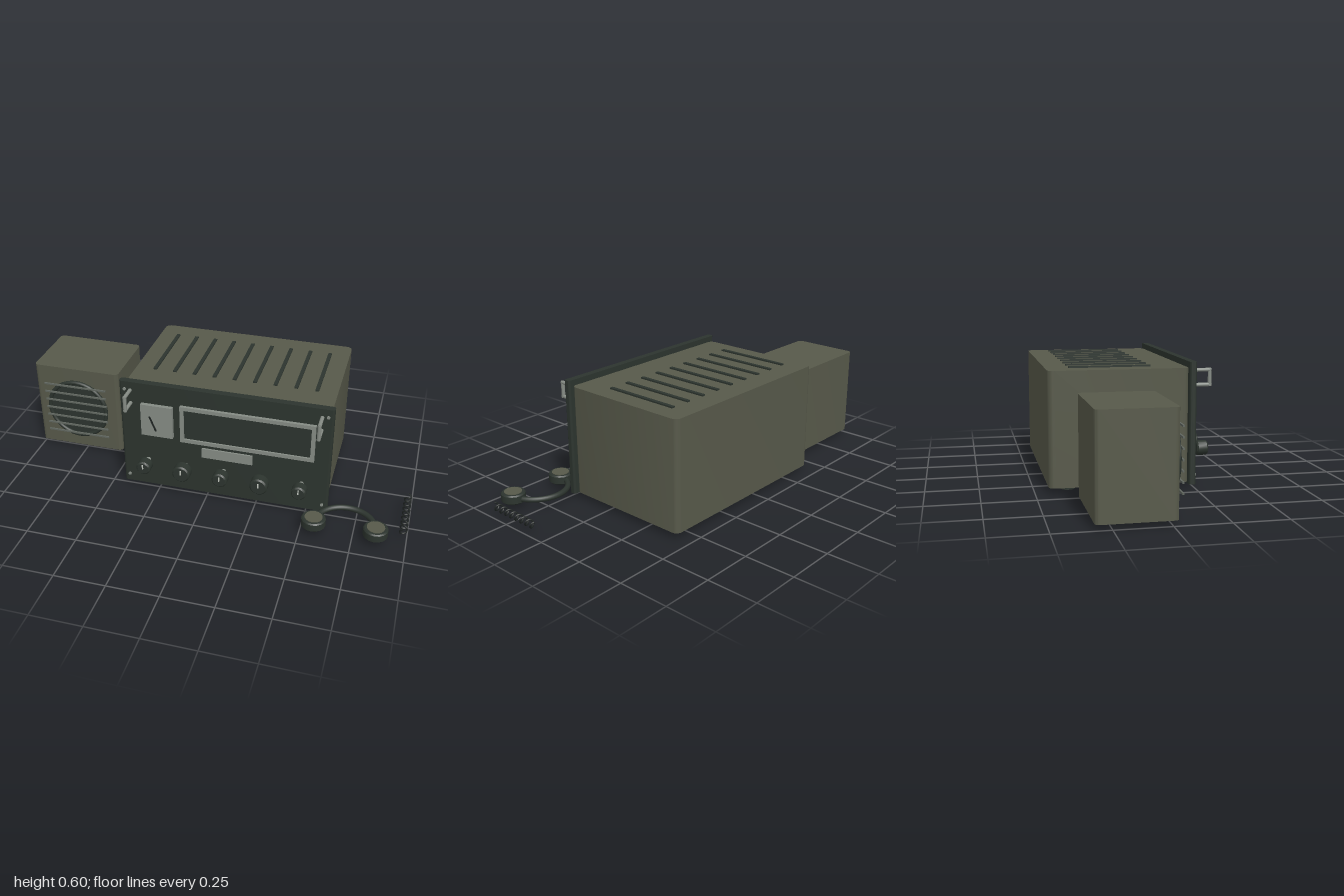
import * as THREE from 'three';
import { toCreasedNormals } from 'three/addons/utils/BufferGeometryUtils.js';

const paint = (name, color) => {
  const m = new THREE.MeshStandardMaterial({ color });
  m.name = name;
  return m;
};

export function createModel() {
  const olive = paint('olive enamel', 0x57594a);
  const dark = paint('dark green panel', 0x2c342e);
  const black = paint('black rubber', 0x1f2422);
  const steel = paint('steel', 0x858b84);
  const slat = paint('dull metal', 0x60665f);
  const pale = paint('pale marking', 0xc4c8c0);

  const root = new THREE.Group();
  root.name = 'radioSet';

  const add = (name, geo, mat, x = 0, y = 0, z = 0, parent = root) => {
    const mesh = new THREE.Mesh(geo, mat);
    mesh.name = name;
    mesh.position.set(x, y, z);
    parent.add(mesh);
    return mesh;
  };
  const group = (name, x = 0, y = 0, z = 0) => {
    const g = new THREE.Group();
    g.name = name;
    g.position.set(x, y, z);
    root.add(g);
    return g;
  };
  const box = (w, h, d) => new THREE.BoxGeometry(w, h, d);
  const rodZ = (r, len, sides = 16) => new THREE.CylinderGeometry(r, r, len, sides).rotateX(Math.PI / 2);

  // Box standing on y = 0 with its four upright edges rounded
  const roundedPrism = (w, h, d, r) => {
    const s = new THREE.Shape();
    const a = w / 2 - r, b = d / 2 - r;
    s.absarc(a, b, r, 0, Math.PI / 2);
    s.absarc(-a, b, r, Math.PI / 2, Math.PI);
    s.absarc(-a, -b, r, Math.PI, Math.PI * 1.5);
    s.absarc(a, -b, r, Math.PI * 1.5, Math.PI * 2);
    s.closePath();
    const g = new THREE.ExtrudeGeometry(s, { depth: h, bevelEnabled: false, curveSegments: 5 });
    return toCreasedNormals(g.rotateX(-Math.PI / 2), 0.6);
  };

  // Chamfered round block along y, from 0 to h
  const chamferedDisc = (r, h, c, sides) => {
    const pts = [[0, 0], [r - c, 0], [r, c], [r, h - c], [r - c, h], [0, h]];
    const g = new THREE.LatheGeometry(pts.map(p => new THREE.Vector2(...p)), sides);
    return toCreasedNormals(g, 0.6);
  };

  // Cabinet, front panel, vents and feet
  const cx = 0.086;
  add('cabinet', roundedPrism(1.01, 0.543, 0.66, 0.03), olive, cx, 0.028, -0.108);
  add('frontPanel', roundedPrism(1.044, 0.581, 0.034, 0.012), dark, cx, 0.019, 0.237);
  for (let i = 0; i < 9; i++) {
    add('ventSlot', box(0.018, 0.007, 0.388), dark, cx + (i - 4) * 0.1015, 0.5752, -0.137);
  }
  for (const x of [-0.31, 0.482]) {
    for (const z of [0.127, -0.34]) {
      add('foot', new THREE.CylinderGeometry(0.035, 0.035, 0.03, 16), dark, x, 0.015, z);
    }
  }

  // Handles and corner screws on the panel
  for (const side of [-1, 1]) {
    const handle = group('handle', cx + side * 0.466, 0.52, 0);
    for (const y of [-0.034, 0.036]) {
      add('handlePost', rodZ(0.009, 0.084), steel, 0, y, 0.294, handle);
    }
    add('handleGrip', new THREE.CylinderGeometry(0.009, 0.009, 0.082, 16), steel, 0, 0, 0.33, handle);
    for (const y of [0.06, 0.56]) {
      add('panelScrew', rodZ(0.008, 0.008, 10), steel, cx + side * 0.494, y, 0.256);
    }
  }

  // Meter with its needle
  add('meterFace', box(0.16, 0.172, 0.02), steel, -0.246, 0.409, 0.264);
  const needle = add('meterNeedle', box(0.008, 0.085, 0.004), black, -0.262, 0.4, 0.284);
  needle.rotation.z = 0.38;

  // Dial window in its frame, and the plate below
  const frame = new THREE.Shape([[-0.329, -0.1], [0.329, -0.1], [0.329, 0.1], [-0.329, 0.1]]
    .map(p => new THREE.Vector2(...p)));
  frame.holes.push(new THREE.Path([[-0.31, -0.081], [-0.31, 0.081], [0.31, 0.081], [0.31, -0.081]]
    .map(p => new THREE.Vector2(...p))));
  add('dialFrame', new THREE.ExtrudeGeometry(frame, { depth: 0.017, bevelEnabled: false }), steel, 0.2, 0.41, 0.253);
  add('dialWindow', box(0.62, 0.162, 0.008), dark, 0.2, 0.41, 0.257);
  add('namePlate', box(0.254, 0.052, 0.009), steel, 0.104, 0.259, 0.258);

  // Row of knobs
  [0.036, 0.044, 0.038, 0.044, 0.036].forEach((r, i) => {
    const knob = group('knob', cx + (i - 2) * 0.1945, 0.167, 0);
    add('knobShaft', rodZ(0.012, 0.04), steel, 0, 0, 0.27, knob);
    add('knobCap', chamferedDisc(r, 0.056, 0.007, 20).rotateX(Math.PI / 2), dark, 0, 0, 0.288, knob);
    add('knobPointer', box(0.006, 0.024, 0.005), pale, 0, 0.012, 0.346, knob);
  });

  // Loudspeaker box with round grille
  add('speakerBox', roundedPrism(0.46, 0.463, 0.347, 0.02), olive, -0.77, 0.024, -0.148);
  const grille = group('speakerGrille', -0.77, 0.257, 0);
  add('speakerCone', rodZ(0.16, 0.01, 40), dark, 0, 0, 0.03, grille);
  add('grilleRing', new THREE.TorusGeometry(0.158, 0.011, 8, 40), dark, 0, 0, 0.038, grille);
  for (let i = -3; i <= 3; i++) {
    add('grilleBar', box(0.34, 0.008, 0.008), slat, 0, i * 0.047, 0.054, grille);
  }

  // Cable between speaker and cabinet
  const cable = new THREE.CatmullRomCurve3([
    [-0.53, 0.195, -0.165], [-0.5, 0.145, -0.215], [-0.46, 0.083, -0.268], [-0.4, 0.078, -0.306],
  ].map(p => new THREE.Vector3(...p)));
  add('speakerCable', new THREE.TubeGeometry(cable, 24, 0.007, 8), black);

  // Headphones lying flat
  const phones = group('headphones', 0.708, 0.028, 0.377);
  const band = new THREE.TorusGeometry(0.147, 0.014, 8, 32, Math.PI).rotateX(-Math.PI / 2);
  add('headband', band, dark, 0, 0.02, 0, phones);
  for (const side of [-1, 1]) {
    add('earCup', chamferedDisc(0.059, 0.047, 0.006, 16), dark, side * 0.147, 0, 0, phones);
    add('earPad', new THREE.CylinderGeometry(0.043, 0.043, 0.006, 16), olive, side * 0.147, 0.047, 0, phones);
  }

  // Coiled lead
  const turns = 8;
  const coil = [];
  for (let i = 0; i <= turns * 12; i++) {
    const a = (i / 12) * Math.PI * 2;
    coil.push(new THREE.Vector3(0.98 + 0.016 * Math.sin(a), 0.053 + 0.016 * Math.cos(a), 0.067 + 0.29 * i / (turns * 12)));
  }
  add('coiledLead', new THREE.TubeGeometry(new THREE.CatmullRomCurve3(coil), 200, 0.004, 6), black);

  return root;
}
